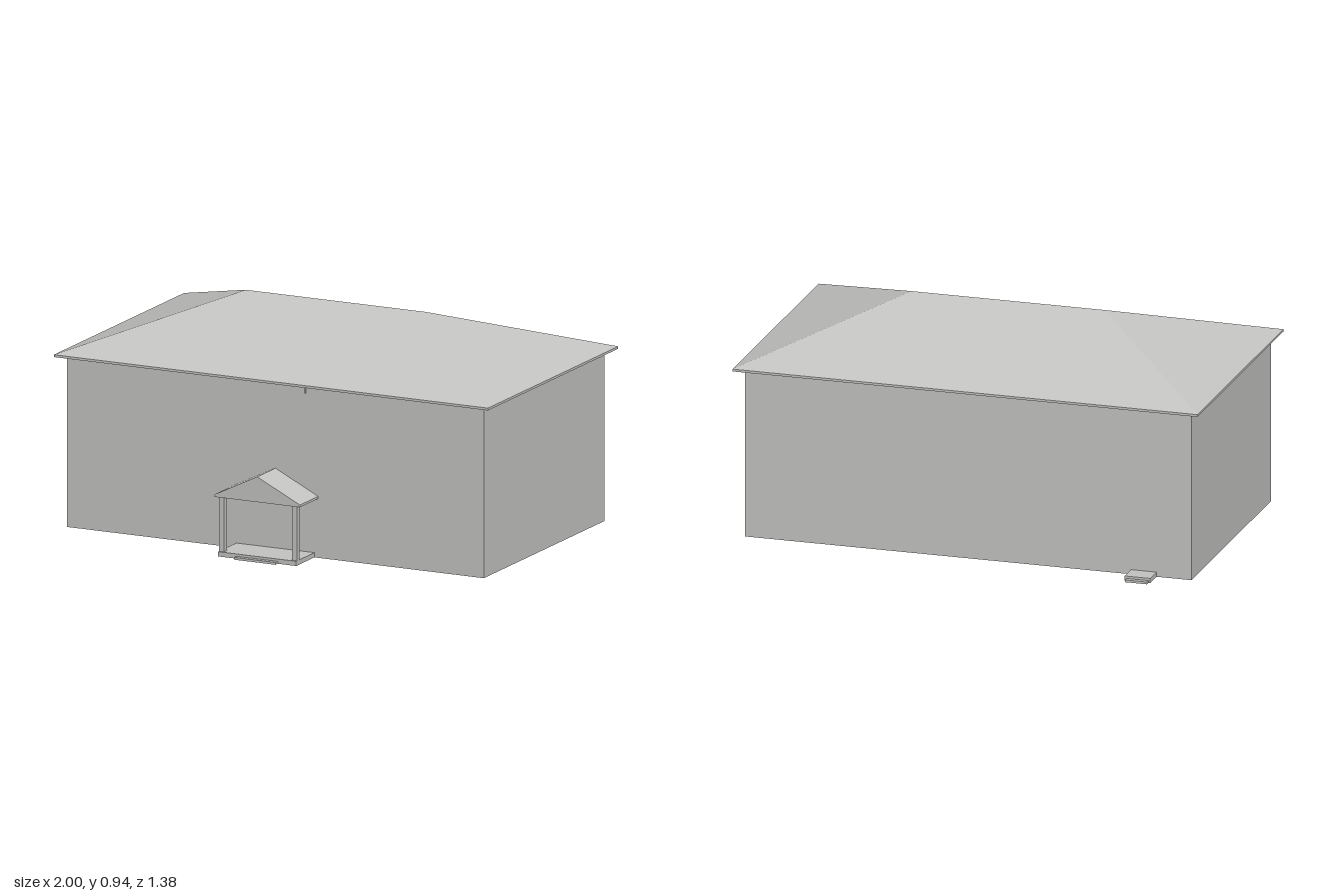
import * as THREE from 'three';

const lightGrey = new THREE.MeshStandardMaterial({ color: 0xc4c4c2, side: THREE.DoubleSide });
lightGrey.name = 'lightGrey';

// Flat-shaded surface from convex polygons, each listed counter-clockwise from outside
function polygons(list) {
  const pos = [];
  for (const p of list) {
    for (let i = 1; i < p.length - 1; i++) pos.push(...p[0], ...p[i], ...p[i + 1]);
  }
  const g = new THREE.BufferGeometry();
  g.setAttribute('position', new THREE.Float32BufferAttribute(pos, 3));
  g.computeVertexNormals();
  return g;
}

export function createModel() {
  const house = new THREE.Group();
  house.name = 'house';

  const add = (name, geometry, parent = house) => {
    const mesh = new THREE.Mesh(geometry, lightGrey);
    mesh.name = name;
    parent.add(mesh);
    return mesh;
  };
  // Box given by its limits on each axis
  const box = (name, [x0, x1], [y0, y1], [z0, z1], parent) => {
    const g = new THREE.BoxGeometry(x1 - x0, y1 - y0, z1 - z0);
    g.translate((x0 + x1) / 2, (y0 + y1) / 2, (z0 + z1) / 2);
    return add(name, g, parent);
  };

  // Walls: thin shell, open underneath
  const W = 0.96, H = 0.725, F = 0.507, B = -0.585;
  add('sideAndBackWalls', polygons([
    [[W, 0, F], [W, 0, B], [W, H, B], [W, H, F]],
    [[W, 0, B], [-W, 0, B], [-W, H, B], [W, H, B]],
    [[-W, 0, B], [-W, 0, F], [-W, H, F], [-W, H, B]],
  ]));

  // Front wall opens into the hollow porch gable
  const P = 0.197, eave = 0.26, peak = 0.357, porchFront = 0.672;
  const front = new THREE.Shape([[-W, 0], [W, 0], [W, H], [-W, H]].map(p => new THREE.Vector2(...p)));
  front.holes.push(new THREE.Path([[-P, eave], [0, peak], [P, eave]].map(p => new THREE.Vector2(...p))));
  add('frontWall', new THREE.ShapeGeometry(front)).position.z = F;

  // Hipped main roof on a thin eave slab
  const zf = 0.548, zb = -0.63, zr = -0.041, xr = 0.415, y0 = 0.733, y1 = 0.943;
  box('eaveSlab', [-1, 1], [0.723, y0], [zb, zf]);
  const a = [-1, y0, zf], b = [1, y0, zf], c = [1, y0, zb], d = [-1, y0, zb];
  const l = [-xr, y1, zr], r = [xr, y1, zr];
  add('hipRoof', polygons([[a, b, r, l], [b, c, r], [c, d, l, r], [d, a, l]]));

  // Front porch
  const porch = new THREE.Group();
  porch.name = 'porch';
  house.add(porch);
  box('porchDeck', [-0.18, 0.18], [0, 0.02], [F, porchFront], porch);
  box('porchStep', [-0.095, 0.095], [0, 0.01], [porchFront, 0.692], porch);
  for (const s of [-1, 1]) {
    box('porchPost', [s * 0.168 - 0.012, s * 0.168 + 0.012], [0.02, 0.25], [0.64, 0.664], porch);
  }
  box('porchEave', [-P, P], [0.25, eave], [F, porchFront], porch);
  const gl = [-P, eave, porchFront], gr = [P, eave, porchFront], gt = [0, peak, porchFront];
  const wl = [-P, eave, F], wr = [P, eave, F], wt = [0, peak, F];
  add('porchGableRoof', polygons([[gl, gr, gt], [gr, wr, wt, gt], [wl, gl, gt, wt]]), porch);

  // Small bracket under the front eave
  box('eaveBracket', [0.138, 0.142], [0.69, 0.723], [F, 0.514]);

  // Back door landing and step
  box('backLanding', [-0.81, -0.7], [0, 0.02], [-0.672, B]);
  box('backStep', [-0.802, -0.708], [0, 0.01], [-0.692, -0.672]);

  return house;
}
